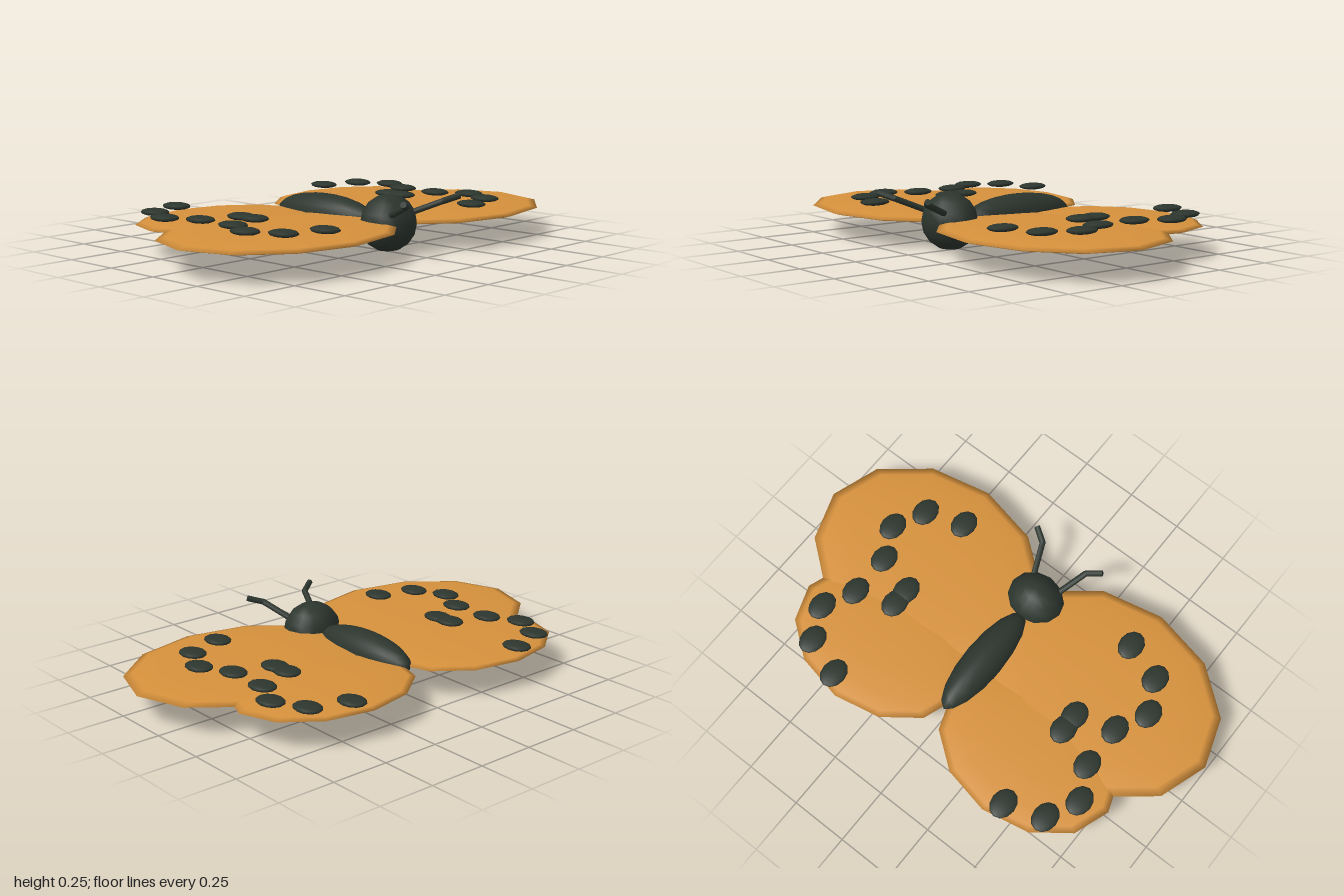
import * as THREE from 'three';

export function createModel() {
  const model = new THREE.Group();
  model.name = 'butterfly';
  const orange = new THREE.MeshStandardMaterial({ name: 'wing orange', color: 0xd6913c });
  const dark = new THREE.MeshStandardMaterial({ name: 'dark green black', color: 0x2c352e });

  // Low-sided ellipsoid with smooth normals
  function ellipsoid(name, material, [x, y, z], [rx, ry, rz], parent = model, w = 12, h = 8) {
    const geometry = new THREE.SphereGeometry(1, w, h).scale(rx, ry, rz);
    const mesh = new THREE.Mesh(geometry, material);
    mesh.name = name;
    mesh.position.set(x, y, z);
    parent.add(mesh);
    return mesh;
  }

  // Straight rod between two points
  function rod(name, a, b, radius, parent) {
    const start = new THREE.Vector3(...a), end = new THREE.Vector3(...b);
    const dir = end.clone().sub(start);
    const mesh = new THREE.Mesh(new THREE.CylinderGeometry(radius, radius, dir.length(), 8), dark);
    mesh.name = name;
    mesh.position.copy(start).add(end).multiplyScalar(0.5);
    mesh.quaternion.setFromUnitVectors(new THREE.Vector3(0, 1, 0), dir.normalize());
    parent.add(mesh);
  }

  // Body and head
  ellipsoid('body', dark, [0, 0.12, -0.06], [0.085, 0.085, 0.27], model, 16, 12);
  ellipsoid('head', dark, [0, 0.119, 0.295], [0.13, 0.119, 0.112]);

  // Spot centres on one wing pair, as x and z
  const spots = [
    [0.45, -0.5], [0.617, -0.44], [0.685, -0.3], [0.617, -0.16], [0.45, -0.1],
    [0.45, -0.025], [0.617, 0.03], [0.685, 0.17], [0.617, 0.31], [0.45, 0.368],
  ];

  for (const s of [1, -1]) {
    const side = new THREE.Group();
    side.name = s > 0 ? 'leftSide' : 'rightSide';
    model.add(side);

    // Wings
    ellipsoid('frontWing', orange, [s * 0.47, 0.12, 0.14], [0.53, 0.025, 0.423], side);
    ellipsoid('hindWing', orange, [s * 0.393, 0.12, -0.258], [0.408, 0.023, 0.308], side);

    // Raised wing spots
    for (const [x, z] of spots) {
      ellipsoid('wingSpot', dark, [s * x, 0.155, z], [0.053, 0.015, 0.067], side);
    }

    // Bent antenna
    const base = [s * 0.068, 0.165, 0.37];
    const bend = [s * 0.115, 0.216, 0.487];
    const tip = [s * 0.175, 0.236, 0.525];
    rod('antennaLower', base, bend, 0.013, side);
    rod('antennaUpper', bend, tip, 0.013, side);
    ellipsoid('antennaJoint', dark, bend, [0.013, 0.013, 0.013], side, 8, 6);
  }
  return model;
}
